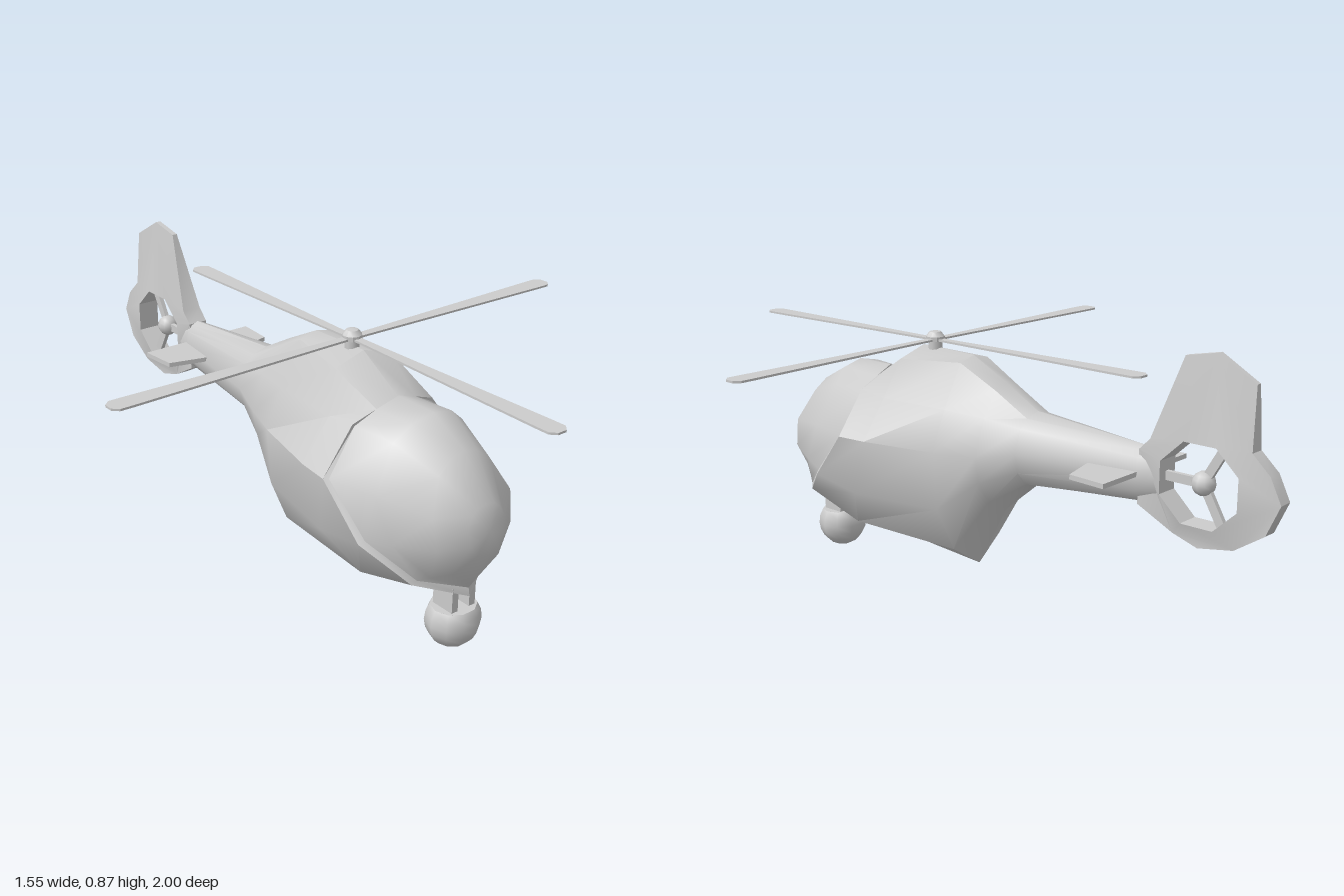
import * as THREE from 'three';
import { toCreasedNormals } from 'three/addons/utils/BufferGeometryUtils.js';

const material = new THREE.MeshStandardMaterial({ color: 0xcccccc, side: THREE.DoubleSide });

function add(parent, name, geometry, x = 0, y = 0, z = 0) {
  const mesh = new THREE.Mesh(geometry, material);
  mesh.name = name;
  mesh.position.set(x, y, z);
  parent.add(mesh);
  return mesh;
}

// Half sections run from top centre to bottom centre on +x; rings go front to back.
function loft(halves, crease) {
  const rings = halves.map(h => [...h, ...h.slice(1, -1).reverse().map(([x, y, z]) => [-x, y, z])]);
  const n = rings[0].length;
  const index = [];
  for (let i = 0; i < rings.length - 1; i++) {
    for (let j = 0; j < n; j++) {
      const a = i * n + j, b = i * n + (j + 1) % n, c = a + n, d = b + n;
      index.push(a, b, c, b, d, c);
    }
  }
  const g = new THREE.BufferGeometry();
  g.setAttribute('position', new THREE.Float32BufferAttribute(rings.flat(2), 3));
  g.setIndex(index);
  return toCreasedNormals(g, crease);
}

// Tail boom section: an oval of half width w between two heights
function oval(z, top, bottom, w) {
  const mid = (top + bottom) / 2, h = (top - bottom) / 2;
  return [0, 0.5, 0.87, 1.571, 2.1, 2.62, Math.PI].map(a => [w * Math.sin(a), mid + h * Math.cos(a), z]);
}

const point = (y, z) => Array.from({ length: 7 }, () => [0, y, z]);
const shapeOf = pts => new THREE.Shape(pts.map(p => new THREE.Vector2(...p)));

// Flat horizontal plate from an x/z outline
function plate(pts, thickness) {
  const g = new THREE.ExtrudeGeometry(shapeOf(pts), { depth: thickness, bevelEnabled: false });
  return g.rotateX(Math.PI / 2).translate(0, thickness / 2, 0);
}

// Inner edge of the windscreen frame
const frameInner = [[0, .665, .42], [.07, .64, .41], [.138, .605, .4], [.232, .48, .41], [.212, .34, .54], [.135, .25, .665], [0, .207, .725]];

function tailGeometry() {
  const outline = [[-.57, .58], [-.605, .615], [-.69, .85], [-.79, .87], [-.905, .805], [-.91, .63], [-.965, .58],
    [-1, .51], [-.96, .42], [-.87, .36], [-.76, .34], [-.68, .365], [-.57, .425]];
  const shape = shapeOf(outline);
  const hole = [];
  for (let i = 0; i < 8; i++) {
    const a = (i + 0.5) * Math.PI / 4;
    hole.push(new THREE.Vector2(-.762 + .13 * Math.cos(a), .515 + .122 * Math.sin(a)));
  }
  shape.holes.push(new THREE.Path(hole));
  const g = new THREE.ExtrudeGeometry(shape, { depth: 2, bevelEnabled: false });
  g.translate(0, 0, -1).rotateY(-Math.PI / 2);
  // Thick around the fan, thin at the rim and the fin tip
  const p = g.attributes.position;
  for (let i = 0; i < p.count; i++) {
    const y = p.getY(i), z = p.getZ(i);
    const inHole = Math.hypot(z + .762, y - .515) < .135;
    const half = inHole ? .036 : z > -.62 ? .032 : y > .75 ? .008 : .022;
    p.setX(i, Math.sign(p.getX(i)) * half);
  }
  g.deleteAttribute('uv');
  return toCreasedNormals(g, 0.6);
}

export function createModel() {
  const model = new THREE.Group();
  model.name = 'helicopter';

  // Fuselage with engine cowl and tail boom
  add(model, 'fuselage', loft([
    frameInner,
    [[0, .66, .42], [.07, .64, .41], [.145, .612, .4], [.245, .48, .4], [.227, .33, .53], [.145, .235, .655], [0, .182, .73]],
    [[0, .75, .27], [.1, .72, .27], [.147, .6, .3], [.235, .48, .3], [.222, .3, .36], [.14, .17, .44], [0, .118, .48]],
    [[0, .745, .06], [.06, .73, .06], [.13, .6, .06], [.182, .48, .06], [.168, .3, .06], [.105, .16, .05], [0, .09, .04]],
    [[0, .68, -.07], [.05, .665, -.07], [.1, .59, -.07], [.138, .48, -.07], [.125, .4, -.07], [.08, .33, -.07], [0, .29, -.07]],
    oval(-.19, .615, .39, .102),
    oval(-.57, .585, .425, .05),
    oval(-.63, .57, .44, .034),
    point(.505, -.635),
  ], 0.62));

  // Rounded windscreen
  add(model, 'windscreen', loft([
    point(.41, .79),
    [[0, .48, .768], [.03, .475, .768], [.05, .46, .77], [.065, .43, .775], [.06, .38, .782], [.04, .345, .785], [0, .335, .787]],
    [[0, .6, .68], [.045, .59, .68], [.09, .555, .685], [.14, .46, .72], [.135, .37, .735], [.085, .29, .745], [0, .255, .755]],
    [[0, .665, .56], [.07, .65, .555], [.125, .605, .54], [.197, .48, .56], [.187, .355, .62], [.115, .265, .695], [0, .215, .73]],
    frameInner,
  ], Math.PI));

  // Tail fin with enclosed fan
  add(model, 'tailFin', tailGeometry());
  const fan = new THREE.Group();
  fan.name = 'tailFan';
  fan.position.set(0, .515, -.758);
  model.add(fan);
  add(fan, 'fanHub', new THREE.SphereGeometry(.034, 10, 8));
  for (let i = 0; i < 3; i++) {
    const blade = new THREE.BoxGeometry(.014, .026, .115).translate(0, 0, .0625);
    add(fan, 'fanBlade', blade.rotateX(i * Math.PI * 2 / 3));
  }

  // Horizontal stabilizers
  for (const s of [1, -1]) {
    const pts = [[.03, -.575], [.195, -.575], [.186, -.455], [.07, -.425], [.03, -.425]].map(([x, z]) => [s * x, z]);
    add(model, 'stabilizer', plate(pts, .014), 0, .513, 0);
  }

  // Main rotor
  const rotor = new THREE.Group();
  rotor.name = 'mainRotor';
  rotor.position.set(0, .772, .22);
  model.add(rotor);
  add(rotor, 'mast', new THREE.CylinderGeometry(.022, .022, .05, 10), 0, -.02, 0);
  const cap = [[0, -.006], [.029, -.004], [.029, .01], [.018, .024], [0, .028]].map(p => new THREE.Vector2(...p));
  add(rotor, 'rotorCap', toCreasedNormals(new THREE.LatheGeometry(cap, 10), 0.6));
  const bladeOutline = [[0, -.012], [.1, -.014], [.72, -.03], [.76, -.03], [.777, -.014], [.777, .014], [.76, .03], [.72, .03], [.1, .014], [0, .012]];
  for (let i = 0; i < 4; i++) {
    add(rotor, 'rotorBlade', plate(bladeOutline, .006)).rotation.y = i * Math.PI / 2;
  }

  // Camera ball under the nose
  const ball = new THREE.SphereGeometry(.083, 10, 7, 0, Math.PI * 2, .97, Math.PI - .97);
  ball.scale(1, 1, .92);
  add(model, 'cameraBall', ball, 0, .085, .672);
  const lid = new THREE.CircleGeometry(.0685, 10).rotateX(-Math.PI / 2).scale(1, 1, .92);
  add(model, 'cameraLid', lid, 0, .132, .672);
  for (const s of [1, -1]) {
    add(model, 'cameraBracket', new THREE.BoxGeometry(.022, .09, .075), s * .032, .165, .672);
  }

  return model;
}
